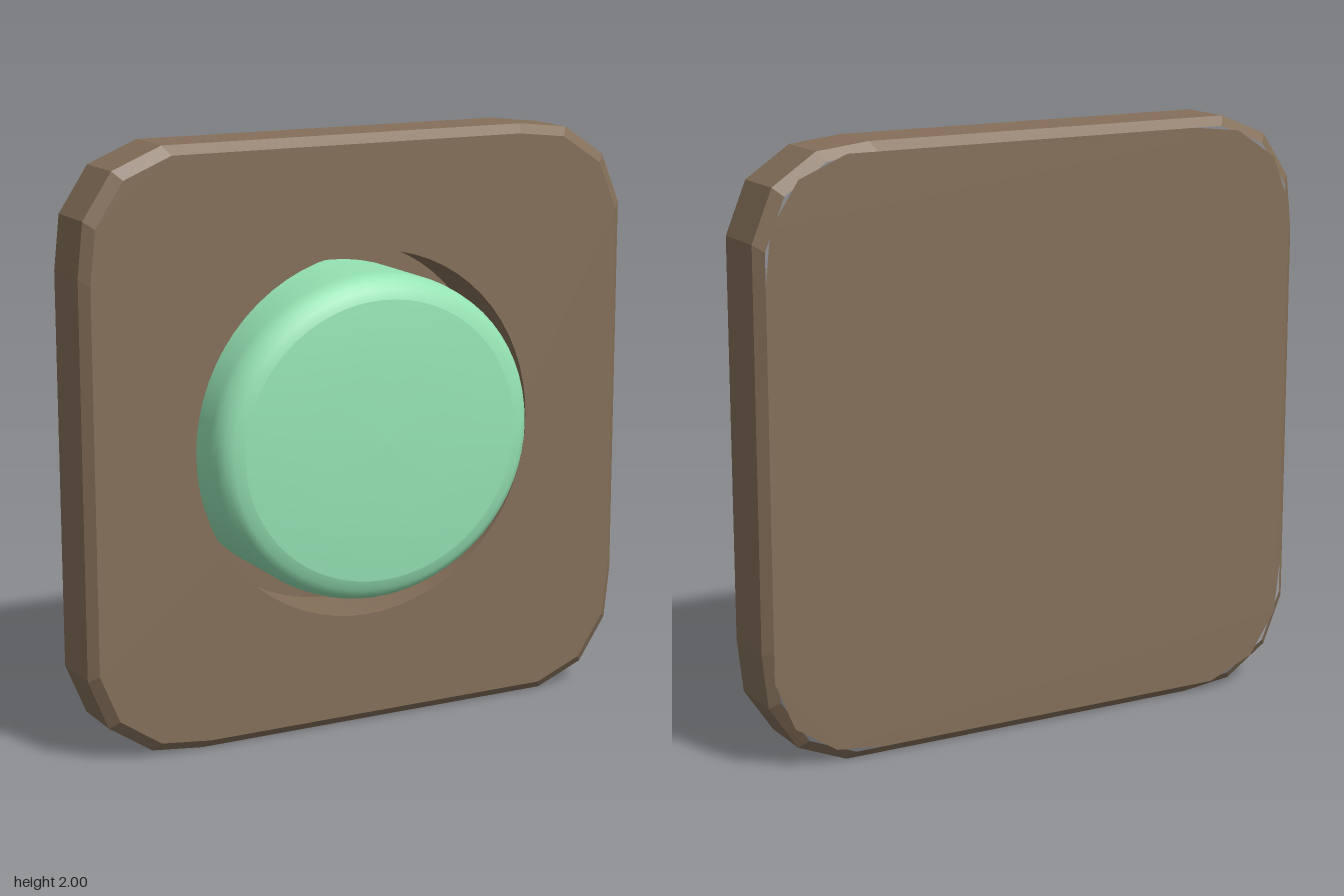
import * as THREE from 'three';

const BACK = -0.2, FRONT = 0.055, BEVEL = 0.03, HOLE = 0.62, FLOOR = -0.19;

// plate outline: one chamfered corner turned through four quarters
function plateOutline(scale) {
  const corner = [[1, 0.71], [0.93, 0.88], [0.78, 0.98], [0.6, 1]];
  const pts = [];
  for (let q = 0; q < 4; q++) {
    for (const [x, y] of corner) {
      pts.push(new THREE.Vector2(x, y).multiplyScalar(scale).rotateAround(new THREE.Vector2(), q * Math.PI / 2));
    }
  }
  return pts;
}

// flat-faced skin through a stack of outlines, back to front
function loft(rings) {
  const pos = [];
  for (let k = 0; k < rings.length - 1; k++) {
    const A = rings[k], B = rings[k + 1], n = A.pts.length;
    for (let i = 0; i < n; i++) {
      const j = (i + 1) % n;
      const a = [A.pts[i].x, A.pts[i].y, A.z], b = [A.pts[j].x, A.pts[j].y, A.z];
      const c = [B.pts[j].x, B.pts[j].y, B.z], d = [B.pts[i].x, B.pts[i].y, B.z];
      pos.push(...a, ...b, ...c, ...a, ...c, ...d);
    }
  }
  const g = new THREE.BufferGeometry();
  g.setAttribute('position', new THREE.Float32BufferAttribute(pos, 3));
  g.computeVertexNormals();
  return g;
}

export function createModel() {
  const brown = new THREE.MeshStandardMaterial({ color: 0x846f59 });
  brown.name = 'brown plate';
  const inside = new THREE.MeshStandardMaterial({ color: 0x846f59, side: THREE.BackSide });
  inside.name = 'brown recess';
  const green = new THREE.MeshStandardMaterial({ color: 0x95e3b4 });
  green.name = 'mint green';

  const model = new THREE.Group();
  model.name = 'wallButton';
  const add = (parent, name, geometry, material) => {
    const mesh = new THREE.Mesh(geometry, material);
    mesh.name = name;
    parent.add(mesh);
    return mesh;
  };

  // backing plate with bevelled edges
  const plate = new THREE.Group();
  plate.name = 'plate';
  plate.position.y = 1;
  model.add(plate);
  const outer = plateOutline(1), inner = plateOutline(1 - BEVEL);
  add(plate, 'plateEdge', loft([
    { pts: inner, z: BACK }, { pts: outer, z: BACK + BEVEL },
    { pts: outer, z: FRONT - BEVEL }, { pts: inner, z: FRONT },
  ]), brown);
  const face = new THREE.Shape(inner);
  face.holes.push(new THREE.Path().absarc(0, 0, HOLE, 0, Math.PI * 2, true));
  add(plate, 'plateFront', new THREE.ShapeGeometry(face, 32).translate(0, 0, FRONT), brown);
  add(plate, 'plateBack', new THREE.ShapeGeometry(new THREE.Shape(inner)).rotateY(Math.PI).translate(0, 0, BACK), brown);

  // round recess in the plate
  add(plate, 'recessWall', new THREE.CylinderGeometry(HOLE, HOLE, FRONT - FLOOR, 64, 1, true)
    .rotateX(Math.PI / 2).translate(0, 0, (FRONT + FLOOR) / 2), inside);
  add(plate, 'recessFloor', new THREE.CircleGeometry(HOLE, 64).translate(0, 0, FLOOR), brown);

  // slightly oval push button: rounded rim and shallow domed face
  const button = new THREE.Group();
  button.name = 'button';
  button.position.set(-0.005, 1.005, 0);
  button.scale.set(1, 0.943, 1);
  model.add(button);
  const turned = (points) => new THREE.LatheGeometry(points.map(([r, z]) => new THREE.Vector2(r, z)), 64)
    .rotateX(Math.PI / 2);
  add(button, 'buttonRim', turned([
    [0.583, FLOOR], [0.583, 0], [0.583, 0.09], [0.578, 0.125], [0.56, 0.155], [0.535, 0.172], [0.5, 0.182],
  ]), green);
  add(button, 'buttonFace', turned([
    [0.5, 0.182], [0.4, 0.19], [0.25, 0.197], [0, 0.2],
  ]), green);
  return model;
}
